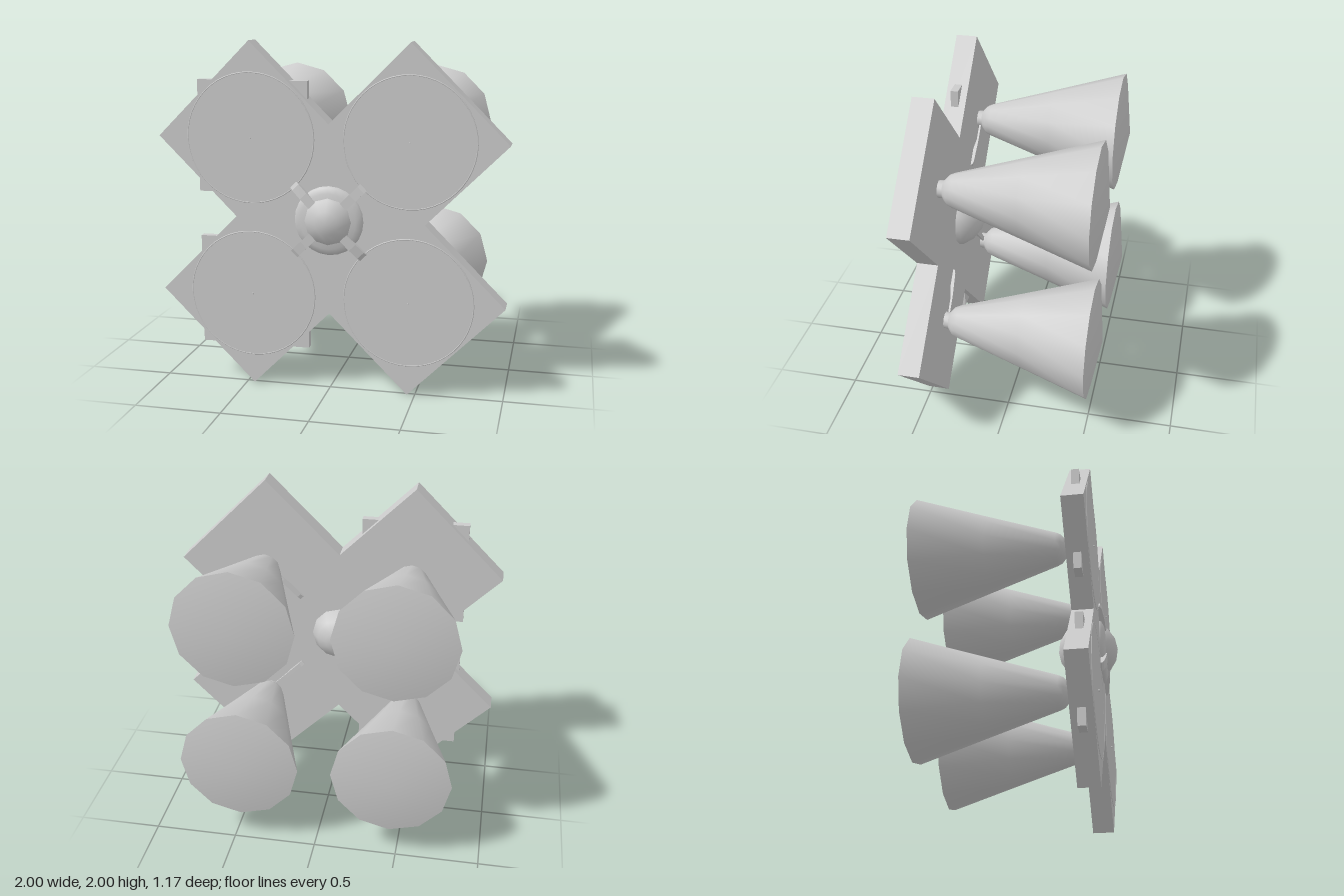
import * as THREE from 'three';
import { toCreasedNormals } from 'three/addons/utils/BufferGeometryUtils.js';

const grey = new THREE.MeshStandardMaterial({ color: 0xcccccc, side: THREE.DoubleSide });
const V = (x, y) => new THREE.Vector2(x, y);

function add(parent, name, geometry) {
  const mesh = new THREE.Mesh(geometry, grey);
  mesh.name = name;
  parent.add(mesh);
  return mesh;
}

// Lathe around the z axis: points are [radius, z]
function turned(points, segments, crease = 0.6) {
  const g = new THREE.LatheGeometry(points.map(([r, z]) => V(r, z)), segments);
  g.rotateX(Math.PI / 2);
  return toCreasedNormals(g, crease);
}

// Profile in (radius, z), given a width across
function strapGeometry(points, width) {
  const g = new THREE.ExtrudeGeometry(new THREE.Shape(points.map(([r, z]) => V(r, z))), { depth: width, bevelEnabled: false });
  g.translate(0, 0, -width / 2);
  g.rotateX(Math.PI / 2); // profile height becomes z
  return g;
}

export function createModel() {
  const model = new THREE.Group();
  model.name = 'quadHornPanel';
  const c = 0.455, h = 0.545, front = 0.52, back = 0.395;

  // X-shaped panel made of four overlapping diamonds
  const outline = [
    [0, c + h - c], [c, 1], [1, c], [h, 0], [1, -c], [c, -1],
    [0, -h], [-c, -1], [-1, -c], [-h, 0], [-1, c], [-c, 1],
  ].map(([x, y]) => V(x, y));
  outline[0].set(0, h);
  const panel = add(model, 'panel', new THREE.ExtrudeGeometry(new THREE.Shape(outline), { depth: front - back, bevelEnabled: false }));
  panel.position.set(0, 1, back);

  // Central hub: shallow front cap and round back dome
  const cap = add(model, 'hubFrontCap', turned([[0.17, 0.5], [0.2, 0.518], [0.192, 0.533], [0.16, 0.546], [0.1, 0.556], [0, 0.562]], 24, 0.9));
  cap.position.y = 1;
  const dome = add(model, 'hubBackDome', new THREE.SphereGeometry(0.178, 12, 8));
  dome.rotation.x = Math.PI / 2;
  dome.position.set(0, 1, 0.437);

  // Horn profile, from neck to wide mouth and shallow end cone
  const horn = turned([
    [0.05, 0.42], [0.05, 0.367], [0.062, 0.358], [0.085, 0.338], [0.098, 0.31],
    [0.225, -0.09], [0.357, -0.5], [0, -0.56],
  ], 12, 0.65);
  const rim = new THREE.TorusGeometry(0.37, 0.004, 6, 48);
  const disc = new THREE.CircleGeometry(0.37, 48);
  const pin = new THREE.CylinderGeometry(0.005, 0.005, 0.02, 8).rotateX(Math.PI / 2);
  const strap = strapGeometry([[0.08, 0.51], [0.285, 0.51], [0.285, 0.53], [0.265, 0.541], [0.2, 0.552], [0.08, 0.558]], 0.052);
  const stay = strapGeometry([[0.335, 0.41], [0.335, 0.386], [0.36, 0.378], [0.5, 0.371], [0.63, 0.371], [0.63, 0.382], [0.5, 0.383], [0.365, 0.41]], 0.028);

  for (const sx of [-1, 1]) for (const sy of [-1, 1]) {
    const unit = new THREE.Group();
    unit.name = 'hornUnit';
    unit.position.set(sx * c, 1 + sy * c, 0);
    model.add(unit);
    add(unit, 'horn', horn);
    add(unit, 'frontDisc', disc).position.z = front + 0.002;
    add(unit, 'discRim', rim).position.z = front;
    add(unit, 'centrePin', pin).position.z = front + 0.002;

    // Square plate set inside the panel, only its corners emerging
    if (sx < 0) add(unit, 'innerPlate', new THREE.BoxGeometry(0.645, 0.645, 0.045)).position.z = 0.457;

    // Diagonal strap over the hub and its stay on the back
    const arm = new THREE.Group();
    arm.name = 'hubArm';
    arm.position.y = 1;
    arm.rotation.z = Math.atan2(sy, sx);
    model.add(arm);
    add(arm, 'frontStrap', strap);
    add(arm, 'backStay', stay);
  }
  return model;
}
